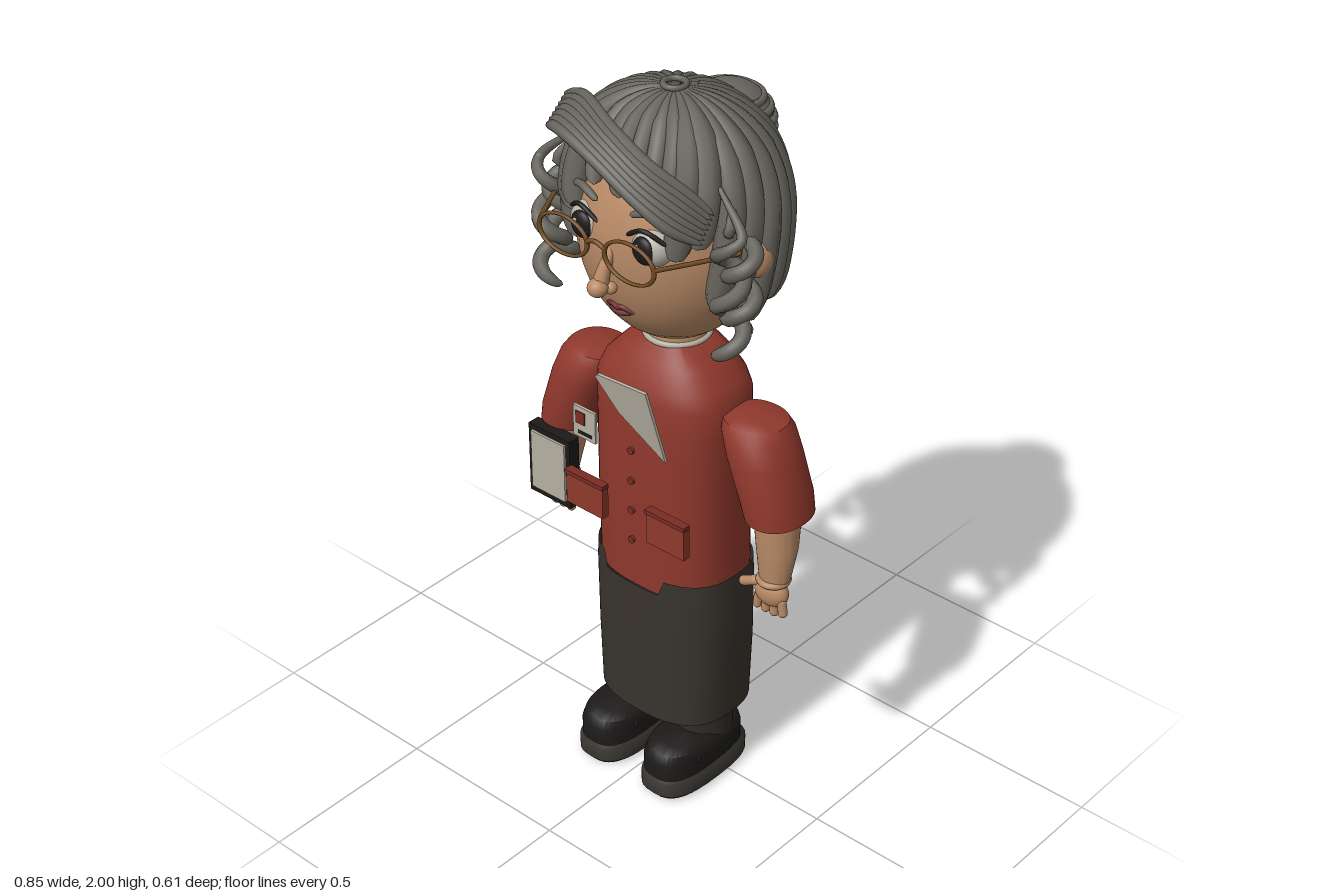
import * as THREE from 'three';
import { toCreasedNormals } from 'three/addons/utils/BufferGeometryUtils.js';

const mat = (color, side = THREE.FrontSide) => new THREE.MeshStandardMaterial({ color, side });
const skin = mat(0xb88a66), hair = mat(0x66645c), red = mat(0x8f382c), skirtMat = mat(0x38332d, THREE.DoubleSide);
const black = mat(0x1c1a19), sole = mat(0x3a3731), brown = mat(0x6f4a22), pale = mat(0xb5b0a2, THREE.DoubleSide);
const lip = mat(0x6e2f2c), darkRed = mat(0x7a2c24), trouser = mat(0x2f2b28), white = mat(0xb9b4aa);
const V = (x, y, z) => new THREE.Vector3(x, y, z);

// Stacked superellipse rings, bottom to top: [y, centreX, centreZ, radiusX, radiusZ]
function loft(rings, power = 2, seg = 40, crease = 0.7) {
  const pos = [], idx = [], e = 2 / power;
  const bend = (v) => Math.sign(v) * Math.abs(v) ** e;
  rings.forEach(([y, cx, cz, rx, rz]) => {
    for (let j = 0; j < seg; j++) {
      const a = (j / seg) * Math.PI * 2;
      pos.push(cx + rx * bend(Math.cos(a)), y, cz + rz * bend(Math.sin(a)));
    }
  });
  for (let i = 0; i < rings.length - 1; i++) for (let j = 0; j < seg; j++) {
    const a = i * seg + j, b = i * seg + (j + 1) % seg, c = a + seg, d = b + seg;
    if (rings[i + 1][3] > 0) idx.push(a, c, d);
    if (rings[i][3] > 0) idx.push(a, d, b);
  }
  const g = new THREE.BufferGeometry();
  g.setAttribute('position', new THREE.Float32BufferAttribute(pos, 3));
  g.setIndex(idx);
  return toCreasedNormals(g, crease);
}

// Tube whose thickness follows a profile along its length
function strand(points, r, profile = () => 1, n = 24) {
  const path = new THREE.CatmullRomCurve3(points), g = new THREE.TubeGeometry(path, n, r, 8);
  const p = g.attributes.position, v = V(0, 0, 0);
  for (let i = 0; i <= n; i++) {
    const c = path.getPointAt(i / n);
    for (let j = 0; j <= 8; j++) {
      const k = i * 9 + j;
      v.fromBufferAttribute(p, k).sub(c).multiplyScalar(profile(i / n)).add(c);
      p.setXYZ(k, v.x, v.y, v.z);
    }
  }
  return g;
}
const lockProfile = (t) => Math.min(1, 0.3 + t * 2) * Math.sqrt(Math.max(0, 1 - Math.max(0, (t - 0.85) / 0.15) ** 2));
const taperBoth = (t) => Math.sqrt(Math.max(0, 1 - Math.abs(2 * t - 1) ** 6));

export function createModel() {
  const model = new THREE.Group();
  const add = (name, geo, material, x = 0, y = 0, z = 0) => {
    const m = new THREE.Mesh(geo, material);
    m.name = name;
    m.position.set(x, y, z);
    model.add(m);
    return m;
  };
  const ball = (name, material, x, y, z, rx, ry, rz) => {
    const m = add(name, new THREE.SphereGeometry(1, 32, 20), material, x, y, z);
    m.scale.set(rx, ry, rz);
    return m;
  };
  const box = (name, material, x, y, z, w, h, d) => add(name, new THREE.BoxGeometry(w, h, d), material, x, y, z);

  // Tunic and skirt
  add('tunic', loft([[0.61, 0, 0, 0, 0], [0.61, 0, -0.003, 0.2, 0.152], [0.85, 0, 0, 0.2, 0.155], [1.1, 0, 0, 0.203, 0.152],
    [1.18, 0, 0, 0.203, 0.148], [1.22, 0, -0.002, 0.185, 0.138], [1.27, 0, -0.006, 0.14, 0.11],
    [1.31, 0, -0.01, 0.085, 0.08], [1.31, 0, -0.01, 0, 0]], 2.6), red);
  const skirt = loft([[0.2, 0, 0, 0, 0], [0.2, 0, -0.005, 0.198, 0.16], [0.4, 0, -0.005, 0.208, 0.16],
    [0.6, 0, -0.003, 0.212, 0.158], [0.66, 0, -0.003, 0.208, 0.158]], 2.6, 72);
  const sp = skirt.attributes.position;
  for (let i = 0; i < sp.count; i++) if (sp.getY(i) > 0.65 && Math.abs(sp.getX(i) + 0.01) < 0.1) sp.setY(i, 0.612);
  add('skirt', skirt, skirtMat);

  // Neckline, lapel, badge, buttons and pockets
  add('neck', new THREE.CylinderGeometry(0.075, 0.085, 0.12, 32), skin, 0, 1.33, -0.01);
  add('collar', new THREE.TorusGeometry(0.082, 0.008, 8, 40), pale, 0, 1.312, -0.01).rotation.x = Math.PI / 2;
  const lapel = new THREE.Shape([[-0.08, 0.09], [-0.07, 0.1], [0.09, 0.11], [0.117, -0.105], [-0.02, 0]].map(([x, y]) => new THREE.Vector2(x, y)));
  add('lapel', new THREE.ExtrudeGeometry(lapel, { depth: 0.008, bevelEnabled: false }), pale, 0, 1.155, 0.182).rotation.x = 0.2;
  box('badge', pale, -0.125, 1.078, 0.198, 0.075, 0.09, 0.008);
  box('badgePicture', darkRed, -0.137, 1.092, 0.203, 0.03, 0.035, 0.004);
  [1.052, 1.046].forEach((y) => box('badgeLine', black, -0.122, y, 0.203, 0.045, 0.003, 0.002));
  [1.06, 0.97, 0.88, 0.79].forEach((y) => {
    add('button', new THREE.CylinderGeometry(0.01, 0.01, 0.008, 16), darkRed, 0.025, y, 0.194).rotation.x = Math.PI / 2;
  });
  for (const s of [1, -1]) {
    box('pocket', red, 0.137 * s, 0.855, 0.183, 0.125, 0.1, 0.022);
    box('pocketFlap', darkRed, 0.137 * s, 0.9, 0.186, 0.13, 0.012, 0.024);
  }

  for (const s of [1, -1]) {
    // Sleeve, forearm and hand
    add('sleeve', loft([[0.92, 0.345 * s, 0, 0, 0], [0.92, 0.347 * s, 0, 0.078, 0.097], [0.97, 0.335 * s, 0, 0.083, 0.1],
      [1.08, 0.295 * s, 0, 0.09, 0.097], [1.14, 0.272 * s, -0.003, 0.09, 0.09], [1.165, 0.262 * s, -0.006, 0.083, 0.075],
      [1.175, 0.258 * s, -0.008, 0.05, 0.045], [1.176, 0.258 * s, -0.008, 0, 0]], 2.2), red);
    add('forearm', loft([[0.72, 0.362 * s, 0.037, 0.036, 0.03], [0.76, 0.364 * s, 0.034, 0.045, 0.036],
      [0.84, 0.362 * s, 0.025, 0.055, 0.052], [0.95, 0.352 * s, 0.015, 0.062, 0.064]]), skin);
    add('wristCrease', new THREE.TorusGeometry(0.037, 0.009, 8, 28), skin, 0.362 * s, 0.745, 0.036).rotation.x = Math.PI / 2;
    ball('palm', skin, 0.362 * s, 0.71, 0.043, 0.05, 0.042, 0.032);
    for (let i = 0; i < 4; i++) {
      const f = add('finger', new THREE.CapsuleGeometry(0.0125, 0.032, 6, 12), skin, (0.325 + 0.026 * i) * s, 0.672 + (i === 3 ? 0.008 : 0), 0.05);
      f.rotation.z = (i - 1.5) * 0.1 * s;
    }
    add('thumb', new THREE.CapsuleGeometry(0.0135, 0.04, 6, 12), skin, 0.302 * s, 0.722, 0.058).rotation.z = -1.1 * s;

    // Leg and shoe
    add('leg', new THREE.CylinderGeometry(0.08, 0.08, 0.12, 32), trouser, 0.11 * s, 0.175, 0.01);
    add('shoeSole', loft([[0, 0.112 * s, 0.05, 0, 0], [0, 0.112 * s, 0.05, 0.078, 0.158], [0.012, 0.112 * s, 0.05, 0.088, 0.168],
      [0.05, 0.112 * s, 0.05, 0.088, 0.168], [0.064, 0.112 * s, 0.05, 0.08, 0.16], [0.064, 0.112 * s, 0.05, 0, 0]], 2.8), sole);
    add('shoeUpper', loft([[0.06, 0.112 * s, 0.055, 0.081, 0.157], [0.11, 0.112 * s, 0.055, 0.082, 0.155],
      [0.135, 0.112 * s, 0.052, 0.077, 0.145], [0.148, 0.112 * s, 0.046, 0.062, 0.12], [0.149, 0.112 * s, 0.046, 0, 0]], 2.8), black);
    add('shoeStrap', new THREE.TorusGeometry(0.078, 0.007, 6, 24, Math.PI), black, 0.112 * s, 0.1, 0.12).scale.y = 0.55;

    // Ear, eye and brow
    ball('ear', skin, 0.265 * s, 1.62, 0.0, 0.035, 0.055, 0.04);
    ball('eye', white, 0.098 * s, 1.668, 0.185, 0.056, 0.05, 0.05);
    ball('iris', black, 0.098 * s, 1.668, 0.222, 0.033, 0.036, 0.016);
    ball('glint', white, 0.098 * s - 0.01, 1.682, 0.237, 0.006, 0.006, 0.004);
    add('eyelid', strand([V(0.042 * s, 1.69, 0.222), V(0.1 * s, 1.722, 0.225), V(0.155 * s, 1.69, 0.2)], 0.006, taperBoth, 14), black);
    add('brow', strand([V(0.05 * s, 1.745, 0.218), V(0.11 * s, 1.762, 0.205), V(0.165 * s, 1.74, 0.175)], 0.01, taperBoth, 14), hair);

    // Spectacle rim and temple
    add('rim', new THREE.TorusGeometry(0.078, 0.006, 8, 40), brown, 0.105 * s, 1.662, 0.28).scale.y = 0.66;
    add('temple', strand([V(0.183 * s, 1.672, 0.28), V(0.232 * s, 1.673, 0.19), V(0.283 * s, 1.675, 0.09)], 0.006), brown);
    add('nostril', new THREE.SphereGeometry(0.016, 16, 12), skin, 0.018 * s, 1.55, 0.25);
  }
  add('spectacleBridge', strand([V(-0.03, 1.672, 0.28), V(0, 1.682, 0.282), V(0.03, 1.672, 0.28)], 0.006), brown);

  // Head, nose and mouth
  ball('head', skin, 0, 1.62, 0, 0.243, 0.3, 0.236);
  add('nose', strand([V(0, 1.64, 0.225), V(0, 1.6, 0.25), V(0, 1.56, 0.268)], 0.022, (t) => 0.5 + 0.5 * t), skin);
  ball('noseTip', skin, 0, 1.555, 0.276, 0.026, 0.024, 0.026);
  add('upperLip', strand([V(-0.045, 1.463, 0.193), V(-0.015, 1.477, 0.206), V(0, 1.473, 0.208), V(0.015, 1.477, 0.206), V(0.045, 1.463, 0.193)], 0.008, taperBoth), lip);
  add('lowerLip', strand([V(-0.035, 1.462, 0.196), V(0, 1.456, 0.203), V(0.035, 1.462, 0.196)], 0.008, taperBoth), lip);

  // Hair: under-cap and locks falling from the crown
  const cap = add('hairCap', new THREE.SphereGeometry(1, 40, 24, Math.PI * 0.96, Math.PI * 1.08, 0, Math.PI * 0.62), mat(0x55534c, THREE.DoubleSide), 0, 1.67, 0);
  cap.scale.set(0.268, 0.3, 0.24);
  const locks = 26;
  for (let i = 0; i < locks; i++) {
    const a0 = ((i + 0.5) / locks) * Math.PI * 2 - Math.PI, k = Math.abs(a0);
    const front = k < 0.75;
    const endY = (front ? 1.77 : k < 1.1 ? 1.64 : k < 1.7 ? 1.5 : 1.43) + (i % 2) * 0.035;
    const endP = Math.acos((endY - 1.68) / (endY > 1.68 ? 0.295 : 0.48)), pts = [];
    for (let j = 0; j <= 9; j++) {
      const t = j / 9, p = 0.11 + (endP - 0.11) * t, c = Math.cos(p), r = Math.sin(p);
      const a = a0 - Math.sign(a0) * 0.3 * t * t * Math.abs(Math.sin(a0)) + (front ? 0.12 * t : 0);
      pts.push(V(0.268 * r * Math.sin(a), 1.68 + (c > 0 ? 0.295 : 0.48) * c, (Math.cos(a) > 0 ? 0.22 : 0.24) * r * Math.cos(a)));
    }
    add('hairLock', strand(pts, front ? 0.026 : 0.036, lockProfile, 28), hair);
  }
  add('crownWhorl', new THREE.TorusGeometry(0.028, 0.008, 8, 24), hair, 0, 1.987, 0).rotation.x = Math.PI / 2;

  // Swept fringe made of parallel strands
  for (let i = 0; i < 7; i++) {
    const w = i / 6 - 0.5;
    add('fringe', strand([V(-0.23 - w * 0.03, 1.905 + w * 0.035, 0.165 - w * 0.09), V(-0.13, 1.95 + w * 0.05, 0.215 - w * 0.09),
      V(0, 1.925 + w * 0.06, 0.25 - w * 0.06), V(0.12, 1.865 + w * 0.07, 0.25 - w * 0.05),
      V(0.2, 1.805 + w * 0.07, 0.215 - w * 0.06), V(0.245, 1.75 + w * 0.06, 0.16 - w * 0.04)], 0.015, taperBoth), hair);
  }

  // Loose ringlets beside the face
  for (const s of [1, -1]) for (let c = 0; c < 2; c++) {
    const pts = [V(0.225 * s, 1.83, 0.1 - c * 0.06)];
    for (let j = 0; j <= 20; j++) {
      const t = j / 20, a = t * Math.PI * 5 + c * 2;
      pts.push(V((0.287 + 0.032 * Math.cos(a)) * s, 1.74 - t * (0.34 - c * 0.05), 0.13 - c * 0.04 + 0.032 * Math.sin(a)));
    }
    add('ringlet', strand(pts, 0.02, lockProfile, 70), hair);
  }

  // Bun wound with bands
  ball('bun', hair, 0, 1.82, -0.205, 0.115, 0.1, 0.1);
  for (let i = 0; i < 6; i++) {
    const h = -0.06 + i * 0.025, r = Math.sqrt(1 - (h / 0.1) ** 2);
    const band = add('bunBand', new THREE.TorusGeometry(0.112, 0.012, 8, 40), hair, 0, 1.82 + h, -0.205);
    band.rotation.x = Math.PI / 2;
    band.scale.set(r, r * 0.84, 1);
  }

  // Tablet in the right hand
  box('tablet', black, -0.328, 0.82, 0.105, 0.145, 0.21, 0.036);
  box('tabletScreen', pale, -0.328, 0.822, 0.126, 0.118, 0.175, 0.008);
  return model;
}
